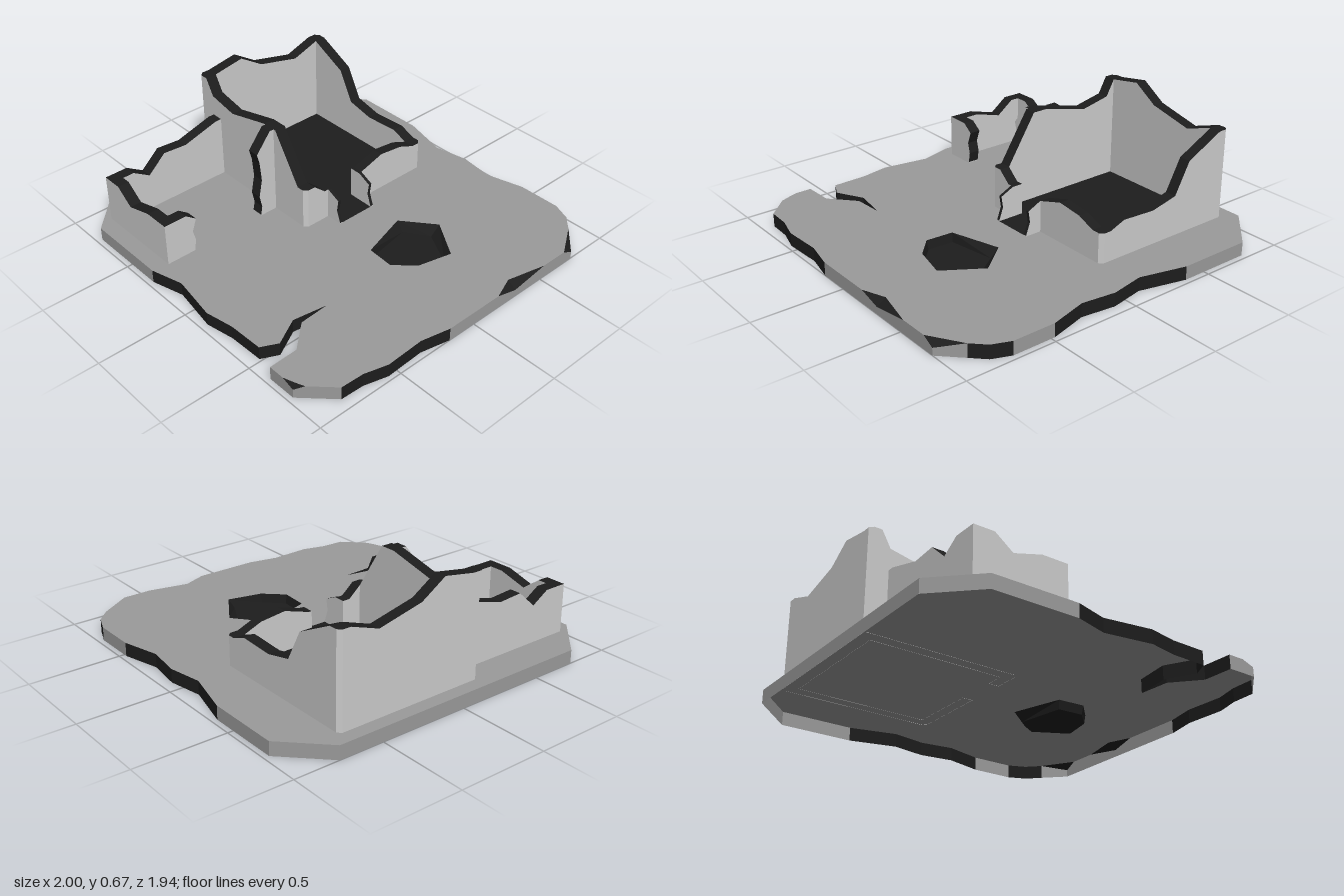
import * as THREE from 'three';

const paint = (color) => new THREE.MeshStandardMaterial({ color, flatShading: true, side: THREE.DoubleSide });
const stone = paint(0xcccccc);
const soil = paint(0x9b9b9b);
const broken = paint(0x1d1d1d);
const LIGHT = 0, DARK = 1;
const TOP = 0.075;
const BASE = TOP - 0.001;

// Collects flat faces in two materials and turns them into one mesh
class Faces {
  constructor() { this.lists = [[], []]; }
  tri(mat, a, b, c) {
    const [p, q, r] = [a, b, c].map((v) => new THREE.Vector3(...v));
    if (q.clone().sub(p).cross(r.clone().sub(p)).length() > 1e-7) this.lists[mat].push(...a, ...b, ...c);
  }
  quad(mat, a, b, c, d) { this.tri(mat, a, b, c); this.tri(mat, a, c, d); }
  // Horizontal polygon with holes, facing up
  cap(mat, y, ring, holes) {
    const flat = (r) => r.map(([x, z]) => new THREE.Vector2(x, z));
    const all = [ring, ...holes].flat();
    for (const f of THREE.ShapeUtils.triangulateShape(flat(ring), holes.map(flat))) {
      const [a, b, c] = f.map((i) => [all[i][0], y, all[i][1]]);
      const ny = (b[2] - a[2]) * (c[0] - a[0]) - (b[0] - a[0]) * (c[2] - a[2]);
      if (ny > 0) this.tri(mat, a, b, c); else this.tri(mat, a, c, b);
    }
  }
  mesh(name, light) {
    const g = new THREE.BufferGeometry();
    const [l, d] = this.lists;
    g.setAttribute('position', new THREE.Float32BufferAttribute(l.concat(d), 3));
    g.addGroup(0, l.length / 3, LIGHT);
    g.addGroup(l.length / 3, d.length / 3, DARK);
    g.computeVertexNormals();
    const m = new THREE.Mesh(g, [light, broken]);
    m.name = name;
    return m;
  }
}

// Crater: rim on the slab top and a smaller floor below it
const rim = [[0.405, -0.38], [0.615, -0.245], [0.57, -0.055], [0.47, 0.05], [0.315, 0.04], [0.23, -0.24]];
const pitFloor = [[0.405, -0.32], [0.595, -0.22], [0.56, -0.055], [0.465, 0.04], [0.32, 0.03], [0.275, -0.235]];
const PIT = 0.025;

// Slab outline: x, z, material of the side that follows, then chipped top x, z and edge height
const outline = [
  [-1, -0.75, LIGHT], [-0.78, -0.97, LIGHT], [-0.37, -0.97, DARK], [-0.11, -0.905, DARK],
  [0.08, -0.94, DARK], [0.27, -0.915, DARK], [0.48, -0.97, LIGHT], [0.72, -0.97, DARK],
  [0.82, -0.93, DARK], [0.89, -0.86, LIGHT], [1, -0.75, LIGHT, 0.975, -0.725, 0.04], [1, -0.685, LIGHT],
  [1, -0.525, LIGHT], [1, -0.305, LIGHT, 0.95, -0.305, 0.04], [1, -0.175, LIGHT], [1, 0.17, DARK],
  [0.965, 0.335, DARK], [0.975, 0.555, DARK], [0.94, 0.685, DARK], [0.935, 0.815, LIGHT],
  [0.82, 0.93, LIGHT], [0.78, 0.97, LIGHT, 0.77, 0.95, 0.05], [0.71, 0.97, LIGHT], [0.62, 0.97, DARK],
  [0.615, 0.805, DARK], [0.49, 0.665, DARK], [0.48, 0.495, DARK], [0.45, 0.685, DARK],
  [0.53, 0.835, DARK], [0.485, 0.925, DARK], [0.29, 0.93, DARK], [0.13, 0.96, DARK],
  [-0.13, 0.92, DARK], [-0.31, 0.97, LIGHT], [-0.78, 0.97, LIGHT], [-1, 0.755, LIGHT],
];

// The slab is a shell, open underneath
function slab() {
  const f = new Faces();
  const pts = outline.map(([x, z, mat, tx = x, tz = z, ey = TOP]) => ({
    mat, bottom: [x, 0, z], edge: [x, ey, z], top: [tx, TOP, tz],
  }));
  pts.forEach((p, i) => {
    const q = pts[(i + 1) % pts.length];
    f.quad(p.mat, p.bottom, p.edge, q.edge, q.bottom);
    f.quad(DARK, p.edge, p.top, q.top, q.edge);
  });
  f.cap(LIGHT, TOP, pts.map((p) => [p.top[0], p.top[2]]), [rim]);
  return f.mesh('groundSlab', soil);
}

function crater() {
  const f = new Faces();
  rim.forEach(([x, z], i) => {
    const j = (i + 1) % rim.length;
    f.quad(DARK, [x, TOP, z], [pitFloor[i][0], PIT, pitFloor[i][1]],
      [pitFloor[j][0], PIT, pitFloor[j][1]], [rim[j][0], TOP, rim[j][1]]);
  });
  f.cap(DARK, PIT, pitFloor, []);
  return f.mesh('crater', soil);
}

// House wall stations from one door post round to the other: outer x, z and height
const houseLine = [
  [-0.05, 0, 0.25], [-0.05, 0.03, 0.25], [-0.05, 0.1, 0.31], [-0.05, 0.145, 0.31],
  [-0.07, 0.165, 0.31], [-0.11, 0.165, 0.31], [-0.28, 0.165, 0.58], [-0.37, 0.165, 0.58],
  [-0.64, 0.165, 0.515], [-0.81, 0.165, 0.55], [-0.86, 0.165, 0.64], [-0.905, 0.165, 0.64],
  [-0.925, 0.145, 0.64], [-0.925, 0.1, 0.64], [-0.925, -0.08, 0.67], [-0.925, -0.22, 0.58],
  [-0.925, -0.47, 0.522], [-0.925, -0.63, 0.577], [-0.925, -0.675, 0.577], [-0.905, -0.695, 0.577],
  [-0.86, -0.695, 0.577], [-0.645, -0.695, 0.47], [-0.555, -0.695, 0.3], [-0.4, -0.695, 0.265],
  [-0.2, -0.695, 0.275], [-0.11, -0.695, 0.24], [-0.07, -0.695, 0.24], [-0.05, -0.675, 0.24],
  [-0.05, -0.63, 0.24], [-0.05, -0.53, 0.28], [-0.05, -0.385, 0.297], [-0.05, -0.235, 0.25],
];

function houseWalls() {
  const f = new Faces();
  const clamp = THREE.MathUtils.clamp;
  const st = houseLine.map(([x, z, h]) => {
    const ix = clamp(x, -0.86, -0.11), iz = clamp(z, -0.63, 0.1);
    return { ob: [x, BASE, z], ot: [x, h, z], ib: [ix, BASE, iz], it: [ix, h, iz] };
  });
  for (let i = 0; i < st.length - 1; i++) {
    const a = st[i], b = st[i + 1];
    f.quad(LIGHT, a.ob, a.ot, b.ot, b.ob);
    f.quad(LIGHT, b.ib, b.it, a.it, a.ib);
    f.quad(DARK, a.ot, a.it, b.it, b.ot);
  }
  const s = st[0], e = st[st.length - 1];
  f.quad(LIGHT, s.ob, s.ib, s.it, s.ot);
  f.quad(LIGHT, e.ob, e.ot, e.it, e.ib);
  return f.mesh('houseWalls', stone);
}

// Straight wall from a broken profile [distance, height]; vertical faces light, broken ones dark
function wall(name, axis, from, to, profile) {
  const foot = TOP + 0.001;
  const ring = [...profile, [profile[profile.length - 1][0], foot], [profile[0][0], foot]];
  const shape = new THREE.Shape(ring.map(([u, y]) => new THREE.Vector2(u, y)));
  const g = new THREE.ExtrudeGeometry(shape, { depth: to - from, bevelEnabled: false });
  if (axis === 'z') g.rotateY(-Math.PI / 2).translate(to, 0, 0);
  else g.translate(0, 0, from);
  g.clearGroups();
  const n = g.attributes.normal;
  for (let i = 0; i < n.count; i += 3) g.addGroup(i, 3, Math.abs(n.getY(i)) < 0.03 ? LIGHT : DARK);
  const m = new THREE.Mesh(g, [stone, broken]);
  m.name = name;
  return m;
}

// Dark floor of the house and its doorway, laid on the slab
function houseFloor() {
  const f = new Faces();
  f.cap(DARK, TOP + 0.002, [[-0.86, -0.63], [-0.11, -0.63], [-0.11, -0.235], [0.045, -0.235],
    [0.045, 0.005], [-0.11, 0.005], [-0.11, 0.1], [-0.86, 0.1]], []);
  return f.mesh('houseFloor', stone);
}

export function createModel() {
  const model = new THREE.Group();
  model.name = 'ruinedHouse';
  model.add(slab(), crater(), houseWalls(), houseFloor());

  // Low walls either side of the doorway
  const porch = [[-0.11, 0.25], [-0.045, 0.25], [0.03, 0.215], [0.02, 0.15], [0.045, 0.08]];
  for (const z of [-0.235, -0.012]) model.add(wall('doorwayWall', 'x', z, z + 0.018, porch));

  // Broken walls of the front annex
  model.add(wall('annexSideWall', 'z', -0.815, -0.75, [[0.165, 0.43], [0.2, 0.43], [0.27, 0.41],
    [0.41, 0.37], [0.55, 0.38], [0.655, 0.285], [0.75, 0.345], [0.88, 0.345]]));
  model.add(wall('annexFrontWall', 'x', 0.815, 0.88, [[-0.75, 0.345], [-0.7, 0.345], [-0.6, 0.27],
    [-0.44, 0.315], [-0.295, 0.315]]));
  model.add(wall('annexCornerStub', 'z', -0.36, -0.295, [[0.71, 0.08], [0.7, 0.14], [0.715, 0.2],
    [0.69, 0.27], [0.75, 0.315], [0.815, 0.315]]));
  model.add(wall('annexInnerStub', 'z', -0.36, -0.295, [[0.165, 0.58], [0.19, 0.58], [0.28, 0.47],
    [0.265, 0.41], [0.255, 0.3], [0.275, 0.2], [0.26, 0.13], [0.27, 0.08]]));
  return model;
}
